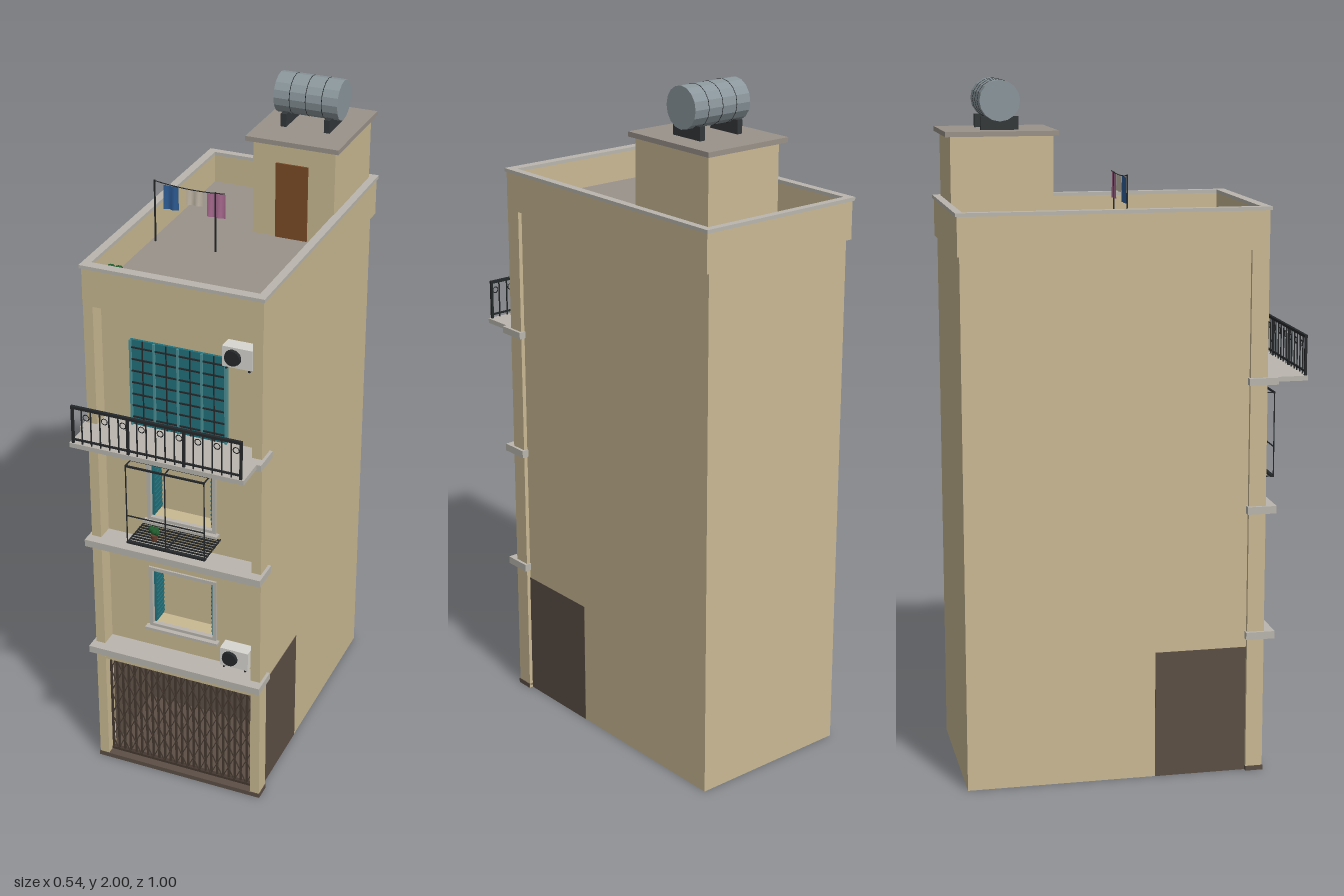
import * as THREE from 'three';
import { mergeGeometries } from 'three/addons/utils/BufferGeometryUtils.js';

const C = {
  wall: 0xc9b993, trim: 0xbab6ae, deck: 0x9a928a, garage: 0x5c4f46, iron: 0x25282a, gate: 0x453931,
  teal: 0x22707a, door: 0x7a4a26, tank: 0x8b979c, white: 0xd8d6d0, green: 0x1f5a2c,
};

// box geometry from its extents
function boxGeo([x0, x1, y0, y1, z0, z1]) {
  return new THREE.BoxGeometry(x1 - x0, y1 - y0, z1 - z0)
    .translate((x0 + x1) / 2, (y0 + y1) / 2, (z0 + z1) / 2);
}

// thin bar between two points
function barGeo(a, b, t) {
  const p = new THREE.Vector3(...a), q = new THREE.Vector3(...b);
  const dir = q.clone().sub(p), len = dir.length();
  const turn = new THREE.Quaternion().setFromUnitVectors(new THREE.Vector3(0, 1, 0), dir.normalize());
  const mid = p.add(q).multiplyScalar(0.5);
  return new THREE.BoxGeometry(t, len, t).applyQuaternion(turn).translate(mid.x, mid.y, mid.z);
}

// rectangle with rectangular holes, extruded along z
function panelGeo([x0, x1, y0, y1], holes, depth) {
  const pts = (a, b, c, d) => [[a, c], [b, c], [b, d], [a, d]].map((p) => new THREE.Vector2(...p));
  const s = new THREE.Shape(pts(x0, x1, y0, y1));
  holes.forEach((h) => s.holes.push(new THREE.Path(pts(...h).reverse())));
  return new THREE.ExtrudeGeometry(s, { depth, bevelEnabled: false });
}

export function createModel() {
  const root = new THREE.Group();
  root.name = 'townhouse';
  const add = (name, color, geos, opts = {}) => {
    const list = (Array.isArray(geos) ? geos : [geos]).map((g) => (g.index ? g.toNonIndexed() : g));
    const mesh = new THREE.Mesh(mergeGeometries(list), new THREE.MeshStandardMaterial({ color, ...opts }));
    mesh.name = name;
    root.add(mesh);
    return mesh;
  };
  const box = (name, color, ...extents) => add(name, color, extents.map(boxGeo));

  // main volume, with the garage cut out of its front
  box('body', C.wall, [-0.25, 0.25, 0.375, 1.56, -0.49, 0.27], [-0.25, 0.25, 0, 0.375, -0.49, 0.06]);
  const windows = [[-0.1, 0.1, 0.505, 0.7], [-0.1, 0.1, 0.875, 1.075]];
  add('facade', C.wall, panelGeo([-0.25, 0.25, 0.375, 1.56], windows, 0.06).translate(0, 0, 0.27));
  box('pilasters', C.wall, [-0.262, -0.233, 0, 1.545, 0.33, 0.38], [0.233, 0.262, 0, 1.545, 0.33, 0.38]);
  box('garageLintel', C.wall, [-0.233, 0.233, 0.37, 0.41, 0.33, 0.378]);

  // garage shell
  box('garageWalls', C.garage, [-0.251, -0.236, 0.01, 0.378, 0.06, 0.33], [0.236, 0.251, 0.01, 0.378, 0.06, 0.33],
    [-0.236, 0.236, 0.01, 0.374, 0.06, 0.068], [-0.236, 0.236, 0.368, 0.374, 0.06, 0.33]);
  box('garageFloor', C.garage, [-0.251, 0.251, 0, 0.01, 0.06, 0.33]);
  box('threshold', C.garage, [-0.264, 0.264, 0, 0.014, 0.33, 0.382]);

  // folding lattice gate
  const gate = [boxGeo([-0.233, 0.233, 0.36, 0.37, 0.345, 0.357]), boxGeo([-0.233, 0.233, 0.014, 0.022, 0.345, 0.357])];
  const cols = 24, rows = 8, gw = 0.46 / cols, gh = 0.34 / rows;
  for (let i = 0; i <= cols; i++) {
    const x = -0.23 + i * gw;
    gate.push(boxGeo([x - 0.003, x + 0.003, 0.015, 0.37, 0.348, 0.354]));
    for (let j = 0; j < rows && i < cols; j++) {
      const y = 0.02 + j * gh, up = (i + j) % 2;
      gate.push(barGeo([x, y + (up ? 0 : gh), 0.356], [x + gw, y + (up ? gh : 0), 0.356], 0.0028));
    }
  }
  add('foldingGate', C.gate, gate);

  // floor ledges and balcony
  for (const y of [0.405, 0.78]) box('floorLedge', C.trim, [-0.271, 0.271, y, y + 0.022, 0.325, 0.41]);
  box('balconyLedge', C.trim, [-0.271, 0.271, 1.156, 1.176, 0.325, 0.41]);
  box('balconySlab', C.trim, [-0.258, 0.258, 1.162, 1.176, 0.38, 0.5]);
  const rail = [[-0.252, 0.252, 1.284, 1.292, 0.49, 0.499], [-0.252, 0.252, 1.185, 1.19, 0.492, 0.497]].map(boxGeo);
  for (let i = 0; i <= 18; i++) {
    const x = -0.248 + (i * 0.496) / 18, t = i % 6 ? 0.0016 : 0.0035;
    rail.push(boxGeo([x - t, x + t, 1.175, 1.287, 0.4945 - t, 0.4945 + t]));
    if (i < 18 && i % 2) {
      rail.push(new THREE.TorusGeometry(0.009, 0.0015, 4, 10).translate(x + 0.0138, 1.262, 0.4945));
    }
  }
  add('balconyRailing', C.iron, rail);

  // two windows with open shutters folded to the sides
  for (const [x0, x1, y0, y1] of windows) {
    add('windowFrame', C.trim, panelGeo([x0 - 0.006, x1 + 0.006, y0 - 0.006, y1 + 0.006],
      [[x0 + 0.005, x1 - 0.005, y0 + 0.005, y1 - 0.005]], 0.014).translate(0, 0, 0.322));
    box('windowSill', C.trim, [x0 - 0.015, x1 + 0.015, y0 - 0.012, y0 - 0.004, 0.325, 0.35]);
    const shutters = [];
    for (const s of [-1, 1]) {
      const a = s * 0.088, b = s * 0.094;
      shutters.push(boxGeo([Math.min(a, b), Math.max(a, b), y0 + 0.006, y1 - 0.006, 0.272, 0.325]));
      for (let k = 0; k < 12; k++) {
        const y = y0 + 0.014 + (k * (y1 - y0 - 0.03)) / 11;
        shutters.push(boxGeo([s * 0.088 - 0.003, s * 0.088 + 0.003, y, y + 0.006, 0.275, 0.322]));
      }
    }
    add('windowShutters', C.teal, shutters);
  }

  // projecting cage on the second window
  const cage = [[-0.12, 0.12, 0.85, 0.856, 0.435, 0.445], [-0.12, 0.12, 1.1, 1.105, 0.44, 0.445],
    [-0.12, 0.12, 0.94, 0.943, 0.441, 0.444]].map(boxGeo);
  for (const x of [-0.118, 0, 0.118]) {
    cage.push(barGeo([x, 0.85, 0.443], [x, 1.105, 0.443], 0.0028));
    for (const y of [0.853, 1.103]) cage.push(barGeo([x, y, 0.33], [x, y, 0.444], 0.003));
  }
  for (let i = 0; i < 9; i++) {
    const z = 0.335 + i * 0.0125;
    cage.push(barGeo([-0.12, 0.853, z], [0.12, 0.853, z], 0.004));
    if (i % 3 === 0) cage.push(barGeo([-0.12, 1.103, z], [0.12, 1.103, z], 0.003));
  }
  add('windowCage', C.iron, cage);

  // glazed balcony doors
  box('balconyDoors', C.teal, [-0.145, 0.141, 1.176, 1.44, 0.33, 0.338]);
  const stiles = [], bars = [];
  for (let i = 0; i <= 4; i++) {
    const x = -0.143 + i * 0.0705;
    stiles.push(boxGeo([x - 0.003, x + 0.003, 1.176, 1.44, 0.33, 0.344]));
    if (i < 4) bars.push(boxGeo([x + 0.034, x + 0.037, 1.176, 1.44, 0.338, 0.341]));
  }
  for (let j = 0; j < 7; j++) bars.push(boxGeo([-0.143, 0.14, 1.2 + j * 0.036, 1.204 + j * 0.036, 0.338, 0.342]));
  add('doorStiles', 0x4b8f95, stiles);
  add('doorBars', C.iron, bars);

  // air conditioners
  for (const [x, y] of [[0.182, 0.487], [0.19, 1.47]]) {
    box('airConditioner', C.white, [x - 0.045, x + 0.042, y - 0.03, y + 0.03, 0.338, 0.38]);
    add('airConditionerFan', C.iron, new THREE.CylinderGeometry(0.022, 0.024, 0.008, 20)
      .rotateX(Math.PI / 2).translate(x - 0.014, y, 0.384));
    box('airConditionerBracket', C.iron, [x - 0.036, x - 0.031, y - 0.036, y - 0.03, 0.33, 0.38],
      [x + 0.03, x + 0.035, y - 0.036, y - 0.03, 0.33, 0.38]);
  }

  // roof deck and parapet
  box('roofDeck', C.deck, [-0.255, 0.255, 1.545, 1.565, -0.49, 0.37]);
  const ring = (o, i, y, h) => panelGeo(o, [i], h).rotateX(-Math.PI / 2).translate(0, y, 0);
  const inner = [-0.244, 0.243, -0.356, 0.48];
  add('parapet', C.wall, ring([-0.263, 0.263, -0.38, 0.497], inner, 1.54, 0.11));
  add('parapetCap', C.trim, ring([-0.268, 0.267, -0.385, 0.502], inner, 1.65, 0.01));

  // stair house
  box('stairHouse', C.wall, [0, 0.245, 1.56, 1.846, -0.479, -0.185]);
  box('stairHouseRoof', C.deck, [-0.019, 0.258, 1.846, 1.86, -0.494, -0.171]);
  box('stairHouseDoor', C.door, [0.07, 0.166, 1.565, 1.79, -0.187, -0.18]);

  // water tank
  add('waterTank', C.tank, new THREE.CylinderGeometry(0.058, 0.058, 0.19, 16)
    .rotateZ(Math.PI / 2).translate(0.118, 1.943, -0.333), { flatShading: true });
  const hoops = [0.07, 0.118, 0.166].map((x) => new THREE.TorusGeometry(0.0578, 0.0012, 4, 16)
    .rotateY(Math.PI / 2).translate(x, 1.943, -0.333));
  add('tankHoops', C.iron, hoops);
  box('tankStands', 0x34383a, [0.045, 0.062, 1.86, 1.898, -0.385, -0.277], [0.175, 0.192, 1.86, 1.898, -0.385, -0.277]);

  // washing line with cloths
  const sag = new THREE.QuadraticBezierCurve3(new THREE.Vector3(-0.23, 1.75, -0.02),
    new THREE.Vector3(-0.12, 1.735, -0.017), new THREE.Vector3(-0.015, 1.745, -0.02));
  add('washingLine', C.iron, [new THREE.TubeGeometry(sag, 10, 0.0015, 5),
    barGeo([-0.23, 1.56, -0.02], [-0.23, 1.752, -0.02], 0.004),
    barGeo([-0.045, 1.56, -0.02], [-0.045, 1.745, -0.02], 0.004)]);
  for (const [x0, x1, y0, color] of [[-0.202, -0.157, 1.67, 0x2f5f9a], [-0.132, -0.083, 1.695, 0xc9bfae], [-0.07, -0.015, 1.67, 0xb06f96]]) {
    const cloth = new THREE.PlaneGeometry(x1 - x0, 1.742 - y0, 8, 2);
    const p = cloth.attributes.position;
    for (let i = 0; i < p.count; i++) p.setZ(i, 0.003 * Math.sin(p.getX(i) * 220) * (0.6 - p.getY(i) * 8));
    cloth.computeVertexNormals();
    add('hangingCloth', color, cloth.translate((x0 + x1) / 2, (y0 + 1.742) / 2, -0.019), { side: THREE.DoubleSide });
  }

  // potted plants
  for (const [x, y, z, s] of [[-0.195, 1.565, 0.31, 1], [-0.05, 0.856, 0.41, 0.6]]) {
    add('plantPot', 0x6b4030, new THREE.CylinderGeometry(0.018 * s, 0.013 * s, 0.032 * s, 10).translate(x, y + 0.016 * s, z));
    const leaves = [0, 1, 2, 3, 4].map((k) => new THREE.IcosahedronGeometry(0.015 * s, 1).translate(
      x + 0.013 * s * Math.cos(k * 1.257), y + (0.046 + 0.009 * (k % 3)) * s, z + 0.011 * s * Math.sin(k * 1.257)));
    add('plantLeaves', C.green, leaves, { flatShading: true });
  }
  return root;
}
